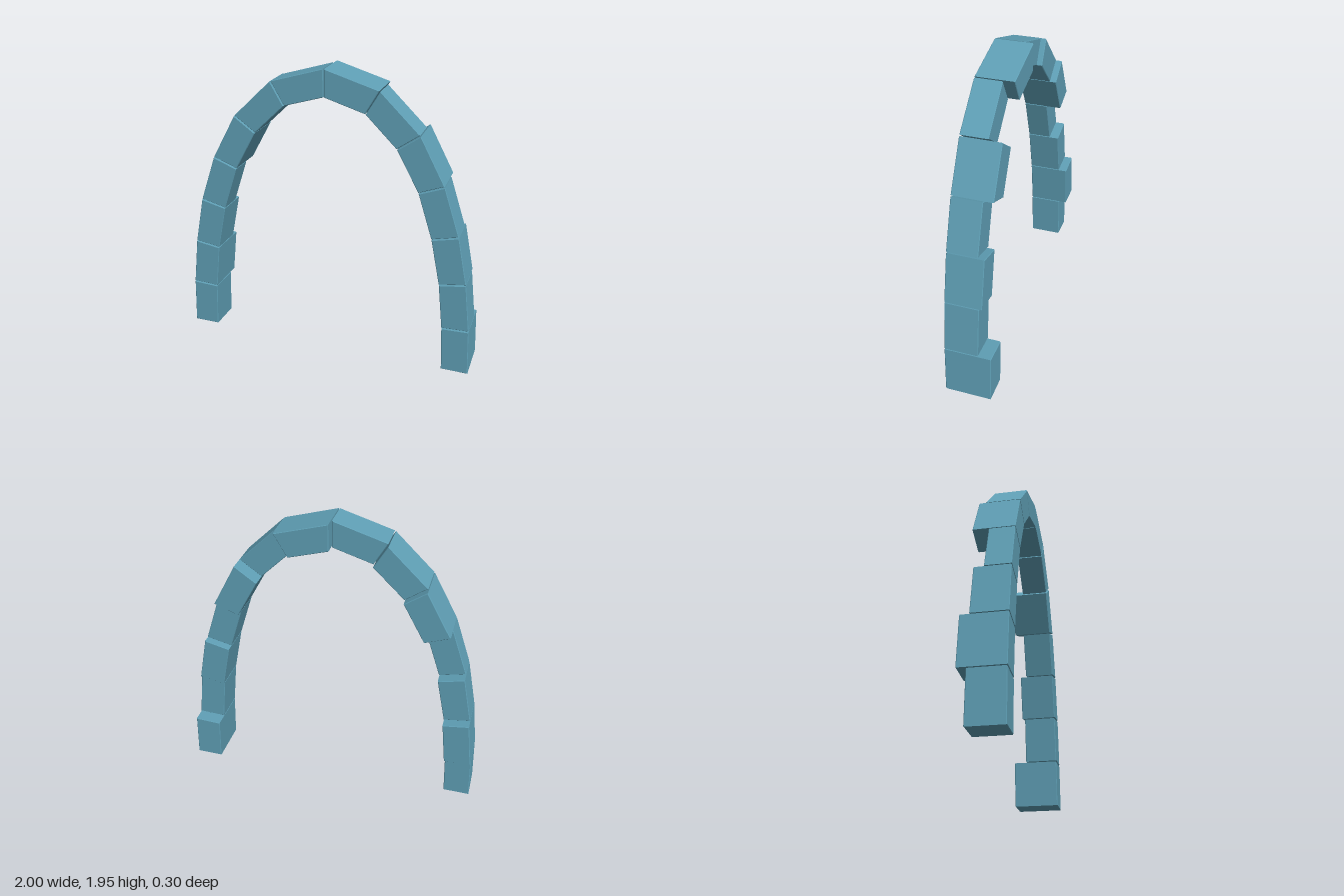
import * as THREE from 'three';

const FRONT = 0.15;
const BEVEL = 0.004;
const GAP = 0.01; // share of each block's length left open at a joint

// Joints from foot to crown: [outerX, outerY, innerX, innerY]
const leftJoints = [
  [0.997, 0.006, 0.82, 0.006], [0.982, 0.329, 0.805, 0.322], [0.942, 0.662, 0.77, 0.635],
  [0.876, 0.983, 0.706, 0.943], [0.77, 1.302, 0.61, 1.241], [0.607, 1.606, 0.465, 1.505],
  [0.352, 1.853, 0.264, 1.703], [0, 1.957, 0, 1.782],
];
const rightJoints = [
  [1.0, 0.013, 0.825, 0.013], [0.986, 0.338, 0.81, 0.33], [0.946, 0.666, 0.775, 0.64],
  [0.88, 0.99, 0.71, 0.948], [0.77, 1.306, 0.61, 1.245], [0.606, 1.606, 0.466, 1.506],
  [0.35, 1.853, 0.262, 1.703], [0, 1.957, 0, 1.782],
];

// How far back each block reaches (z), foot to crown
const leftBacks = [-0.15, -0.068, -0.087, -0.047, -0.11, -0.025, -0.095];
const rightBacks = [-0.07, -0.125, -0.07, -0.01, -0.11, -0.07, -0.037];

const material = new THREE.MeshStandardMaterial({ color: 0x5f9fb5, flatShading: true });

// One wedge-shaped stone between two joints, with finely bevelled front and back
function makeBlock(lower, upper, side, back) {
  const mix = (t) => lower.map((v, i) => v + (upper[i] - v) * t);
  const a = mix(GAP), b = mix(1 - GAP);
  const shape = new THREE.Shape([
    new THREE.Vector2(side * a[0], a[1]),
    new THREE.Vector2(side * b[0], b[1]),
    new THREE.Vector2(side * b[2], b[3]),
    new THREE.Vector2(side * a[2], a[3]),
  ]);
  const geometry = new THREE.ExtrudeGeometry(shape, {
    depth: FRONT - back - 2 * BEVEL,
    bevelEnabled: true,
    bevelSize: BEVEL,
    bevelOffset: -BEVEL,
    bevelThickness: BEVEL,
    bevelSegments: 1,
  });
  geometry.translate(0, 0, back + BEVEL);
  return new THREE.Mesh(geometry, material);
}

function makeHalf(name, joints, backs, side) {
  const half = new THREE.Group();
  half.name = name;
  backs.forEach((back, i) => {
    const block = makeBlock(joints[i], joints[i + 1], side, back);
    block.name = `${name}Stone${i + 1}`;
    half.add(block);
  });
  return half;
}

export function createModel() {
  const arch = new THREE.Group();
  arch.name = 'stoneArch';
  arch.add(makeHalf('leftHalf', leftJoints, leftBacks, 1));
  arch.add(makeHalf('rightHalf', rightJoints, rightBacks, -1));
  return arch;
}
